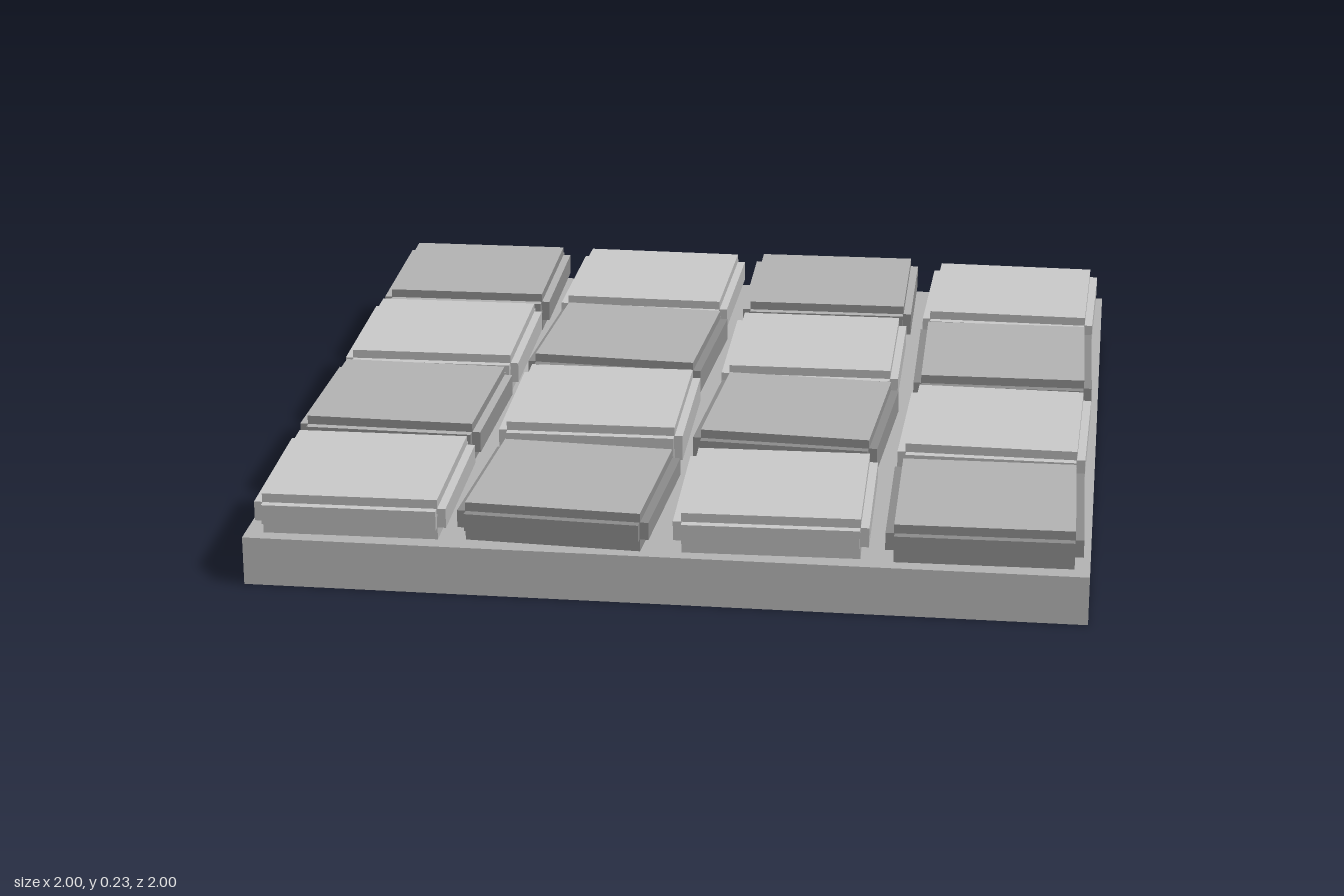
import * as THREE from 'three';

const paint = (name, color) => {
  const m = new THREE.MeshStandardMaterial({ color });
  m.name = name;
  return m;
};

export function createModel() {
  const light = paint('light stone', 0xc8c8c8);
  const mid = paint('mid stone', 0xb2b2b2);
  const dark = paint('dark stone', 0x8a8a8a);
  const group = new THREE.Group();
  group.name = 'pavingPanel';

  // box standing between two heights, with its own colour on the upper face
  function block(parent, name, w, d, y0, y1, side, top) {
    const mesh = new THREE.Mesh(
      new THREE.BoxGeometry(w, y1 - y0, d),
      [side, side, top, side, side, side]
    );
    mesh.position.y = (y0 + y1) / 2;
    mesh.name = name;
    parent.add(mesh);
  }

  block(group, 'baseSlab', 2, 2, 0, 0.12, mid, mid);

  // small turn of each tile in degrees, row by row from the back
  const turns = [
    [1, -0.5, 1, -1],
    [1, -3, 0.8, 1],
    [-1, 1, -3.3, -1],
    [1, -3, 1.5, 1],
  ];
  const tops = [
    [0.225, 0.225, 0.23, 0.22],
    [0.225, 0.23, 0.225, 0.22],
    [0.225, 0.235, 0.23, 0.22],
    [0.22, 0.215, 0.22, 0.215],
  ];
  const paleLedges = ['0,0', '0,2', '2,0'];
  const core = 0.42, wide = 0.46;

  for (let row = 0; row < 4; row++) {
    for (let col = 0; col < 4; col++) {
      const isLight = (row + col) % 2 === 1;
      const cap = isLight ? light : mid;
      const body = isLight ? mid : dark;
      const ledge = isLight || paleLedges.includes(`${row},${col}`) ? cap : body;
      const top = tops[row][col];

      const tile = new THREE.Group();
      tile.name = 'tile';
      tile.position.set(col * 0.5 - 0.75, 0, row * 0.5 - 0.75);
      tile.rotation.y = THREE.MathUtils.degToRad(turns[row][col]);

      // raised core, with ledges that leave every edge and corner stepped
      block(tile, 'tileCore', core, core, 0.12, top, body, cap);
      block(tile, 'sideLedge', wide, core - 0.002, 0.15, top - 0.022, body, ledge);
      block(tile, 'frontBackLedge', core - 0.002, wide, 0.15, top - 0.022, body, ledge);
      group.add(tile);
    }
  }
  return group;
}
